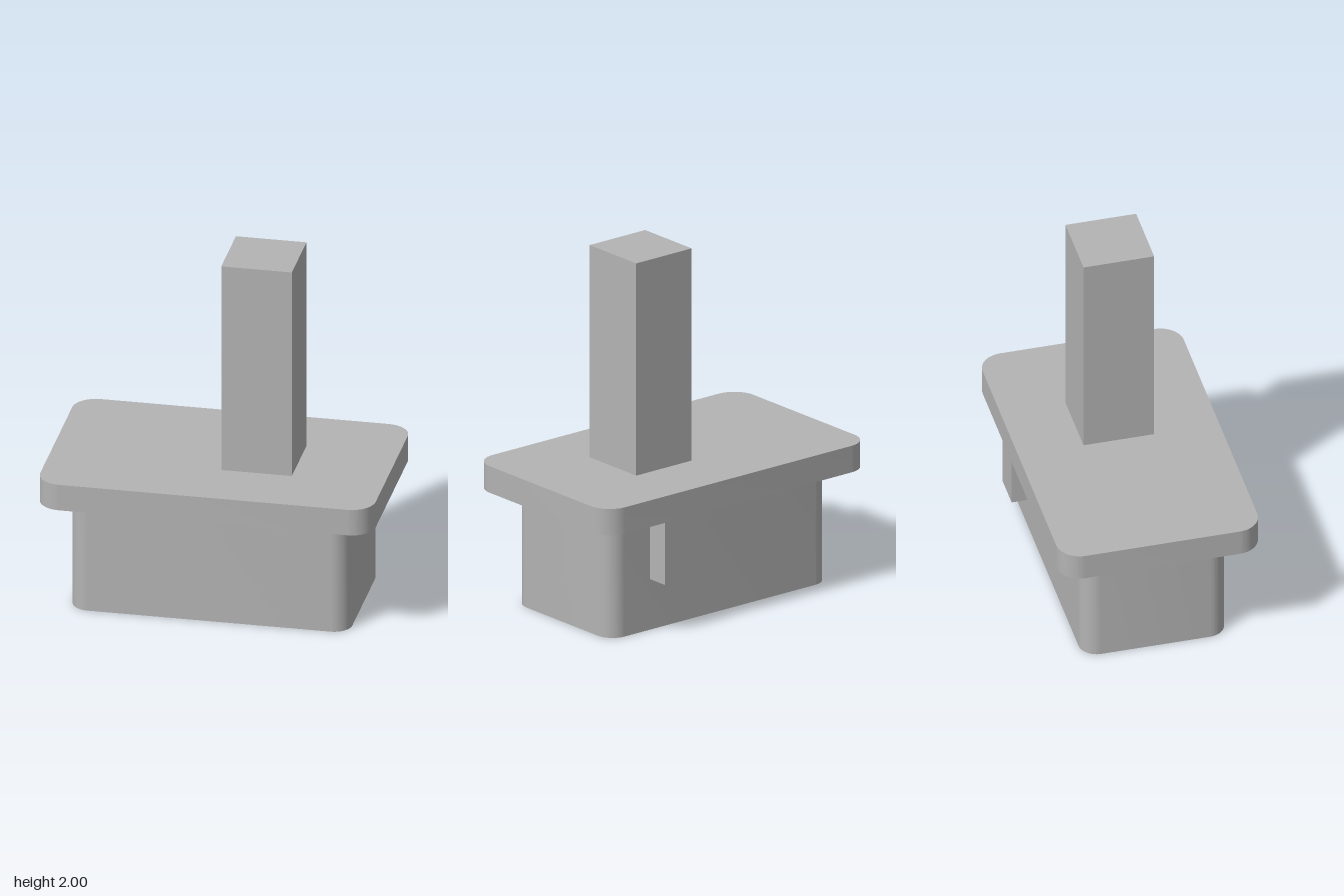
import * as THREE from 'three';
import { toCreasedNormals } from 'three/addons/utils/BufferGeometryUtils.js';

const grey = new THREE.MeshStandardMaterial({ color: 0xb3b3b3 });
grey.name = 'grey';

function addPart(group, name, geometry) {
  const mesh = new THREE.Mesh(geometry, grey);
  mesh.name = name;
  group.add(mesh);
}

// Upright slab with rounded vertical corners, from y0 to y1
function roundedSlab(halfX, halfZ, radius, y0, y1) {
  const shape = new THREE.Shape();
  const cx = halfX - radius, cz = halfZ - radius;
  shape.absarc(cx, cz, radius, 0, Math.PI / 2);
  shape.absarc(-cx, cz, radius, Math.PI / 2, Math.PI);
  shape.absarc(-cx, -cz, radius, Math.PI, Math.PI * 1.5);
  shape.absarc(cx, -cz, radius, Math.PI * 1.5, Math.PI * 2);
  const geometry = new THREE.ExtrudeGeometry(shape, { depth: y1 - y0, bevelEnabled: false, curveSegments: 12 });
  geometry.rotateX(-Math.PI / 2).translate(0, y0, 0);
  return toCreasedNormals(geometry, 0.5);
}

// Box given by its lower and upper limits on each axis
function boxBetween(x0, x1, y0, y1, z0, z1) {
  return new THREE.BoxGeometry(x1 - x0, y1 - y0, z1 - z0)
    .translate((x0 + x1) / 2, (y0 + y1) / 2, (z0 + z1) / 2);
}

export function createModel() {
  const group = new THREE.Group();
  group.name = 'plungerBlock';
  addPart(group, 'body', roundedSlab(0.762, 0.4, 0.1, 0, 0.65));
  addPart(group, 'flange', roundedSlab(0.915, 0.555, 0.13, 0.65, 0.8));
  addPart(group, 'post', boxBetween(0.025, 0.41, 0.8, 2, -0.195, 0.195));
  // Locating key under the flange at the back
  addPart(group, 'backKey', boxBetween(0.283, 0.483, 0.285, 0.65, -0.525, -0.4));
  return group;
}
